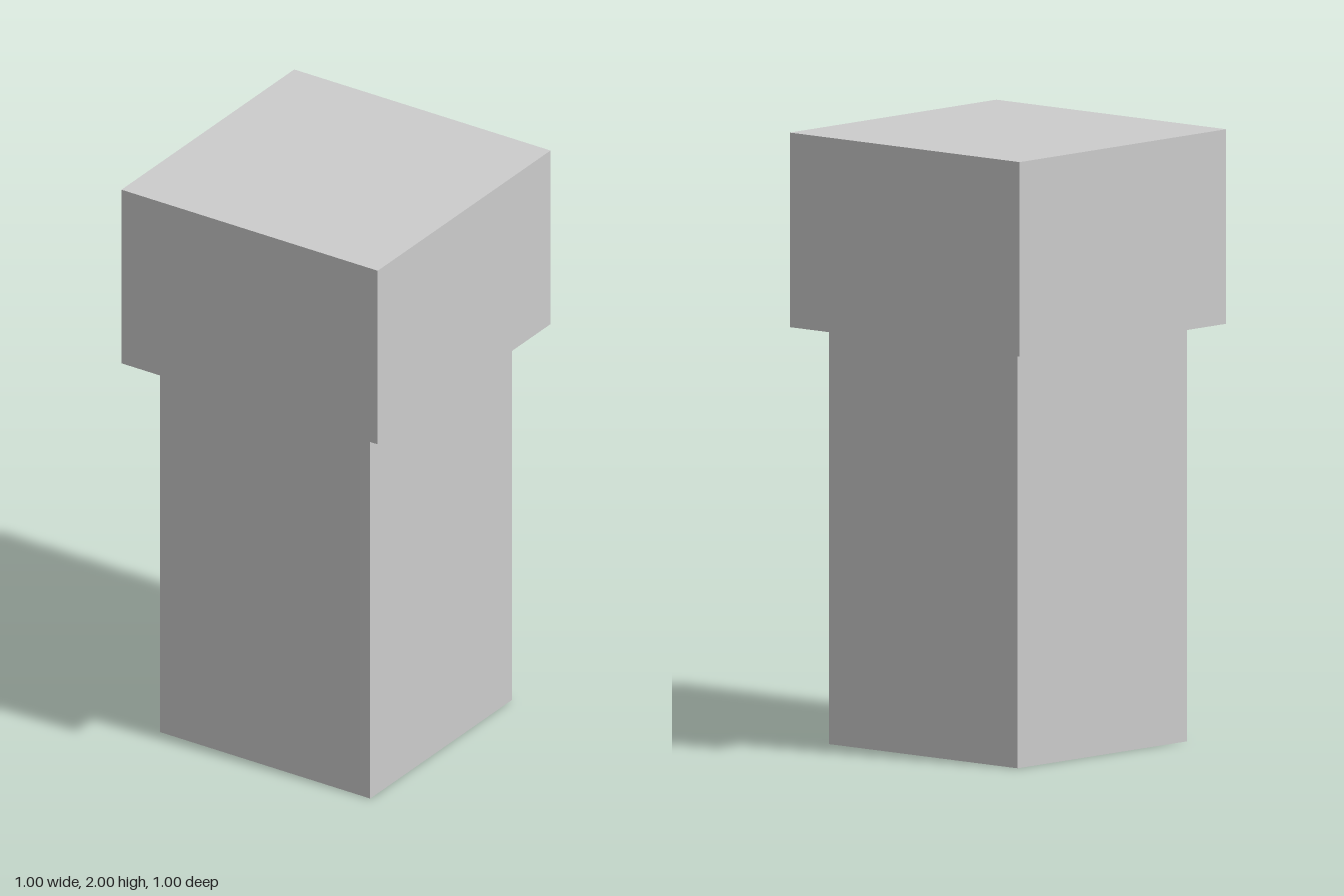
import * as THREE from 'three';

const SHAFT_HEIGHT = 1.364;
const TOTAL_HEIGHT = 2;

export function createModel() {
  const group = new THREE.Group();
  group.name = 'post';
  const material = new THREE.MeshStandardMaterial({ color: 0xcccccc, flatShading: true });

  // Square block standing between two heights
  const addBlock = (name, width, bottom, top) => {
    const mesh = new THREE.Mesh(new THREE.BoxGeometry(width, top - bottom, width), material);
    mesh.name = name;
    mesh.position.y = (bottom + top) / 2;
    group.add(mesh);
  };

  addBlock('shaft', 0.82, 0, SHAFT_HEIGHT);
  addBlock('cap', 1, SHAFT_HEIGHT, TOTAL_HEIGHT);

  return group;
}
